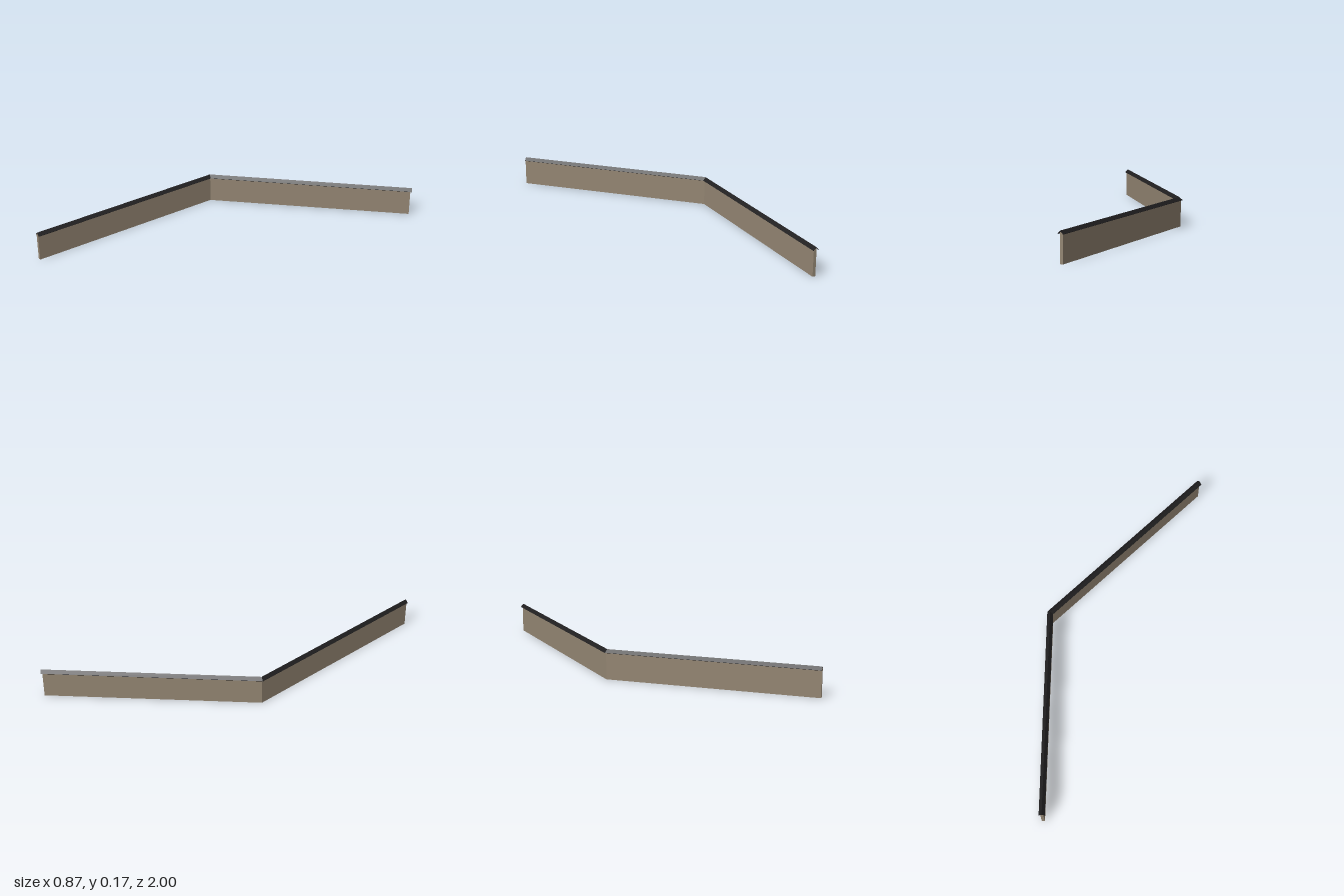
import * as THREE from 'three';

// Sweeps a closed counter-clockwise profile (offset, height) along a mitred ground path (x, z).
function sweep(profile, path) {
  const points = path.map(([x, z]) => new THREE.Vector2(x, z));
  const rightOf = (a, b) => {
    const d = b.clone().sub(a).normalize();
    return new THREE.Vector2(-d.y, d.x);
  };
  const last = points.length - 1;
  const sections = points.map((p, i) => {
    const before = rightOf(points[Math.max(i - 1, 0)], points[Math.max(i, 1)]);
    const after = rightOf(points[Math.min(i, last - 1)], points[Math.min(i + 1, last)]);
    const miter = before.clone().add(after).divideScalar(1 + before.dot(after));
    return profile.map(([u, y]) => [p.x + miter.x * u, y, p.y + miter.y * u]);
  });

  const positions = [];
  const face = (...corners) => corners.forEach((c) => positions.push(...c));
  for (let s = 0; s < last; s++) {
    const a = sections[s], b = sections[s + 1];
    for (let i = 0; i < profile.length; i++) {
      const j = (i + 1) % profile.length;
      face(a[i], b[j], a[j]);
      face(a[i], b[i], b[j]);
    }
  }
  // End faces
  const outline = profile.map(([u, y]) => new THREE.Vector2(u, y));
  for (const [i, j, k] of THREE.ShapeUtils.triangulateShape(outline, [])) {
    face(sections[0][i], sections[0][j], sections[0][k]);
    face(sections[last][i], sections[last][k], sections[last][j]);
  }
  const geometry = new THREE.BufferGeometry();
  geometry.setAttribute('position', new THREE.Float32BufferAttribute(positions, 3));
  geometry.computeVertexNormals();
  return geometry;
}

export function createModel() {
  const plaster = new THREE.MeshStandardMaterial({ color: 0x948673 });
  plaster.name = 'taupe plaster';
  const slate = new THREE.MeshStandardMaterial({ color: 0x1f1e1f });
  slate.name = 'black coping';

  const start = [-0.4155, 1];
  const bend = [-0.4185, -0.152];

  // Wall with a gabled top tucked under the coping
  const half = 0.0083;
  const wall = new THREE.Mesh(
    sweep([[-half, 0], [half, 0], [half, 0.154], [0, 0.1622], [-half, 0.154]],
      [start, bend, [0.414, -0.982]]),
    plaster,
  );
  wall.name = 'wall';

  // Pitched coping, overhanging both sides and the far end
  const coping = new THREE.Mesh(
    sweep([[-0.0168, 0.148], [-0.0145, 0.148], [0, 0.1625], [0.0145, 0.148], [0.0168, 0.148],
      [0.0168, 0.1495], [0, 0.1663], [-0.0168, 0.1495]],
      [start, bend, [0.42, -0.988]]),
    slate,
  );
  coping.name = 'coping';

  const group = new THREE.Group();
  group.name = 'boundaryWall';
  group.add(wall, coping);
  return group;
}
